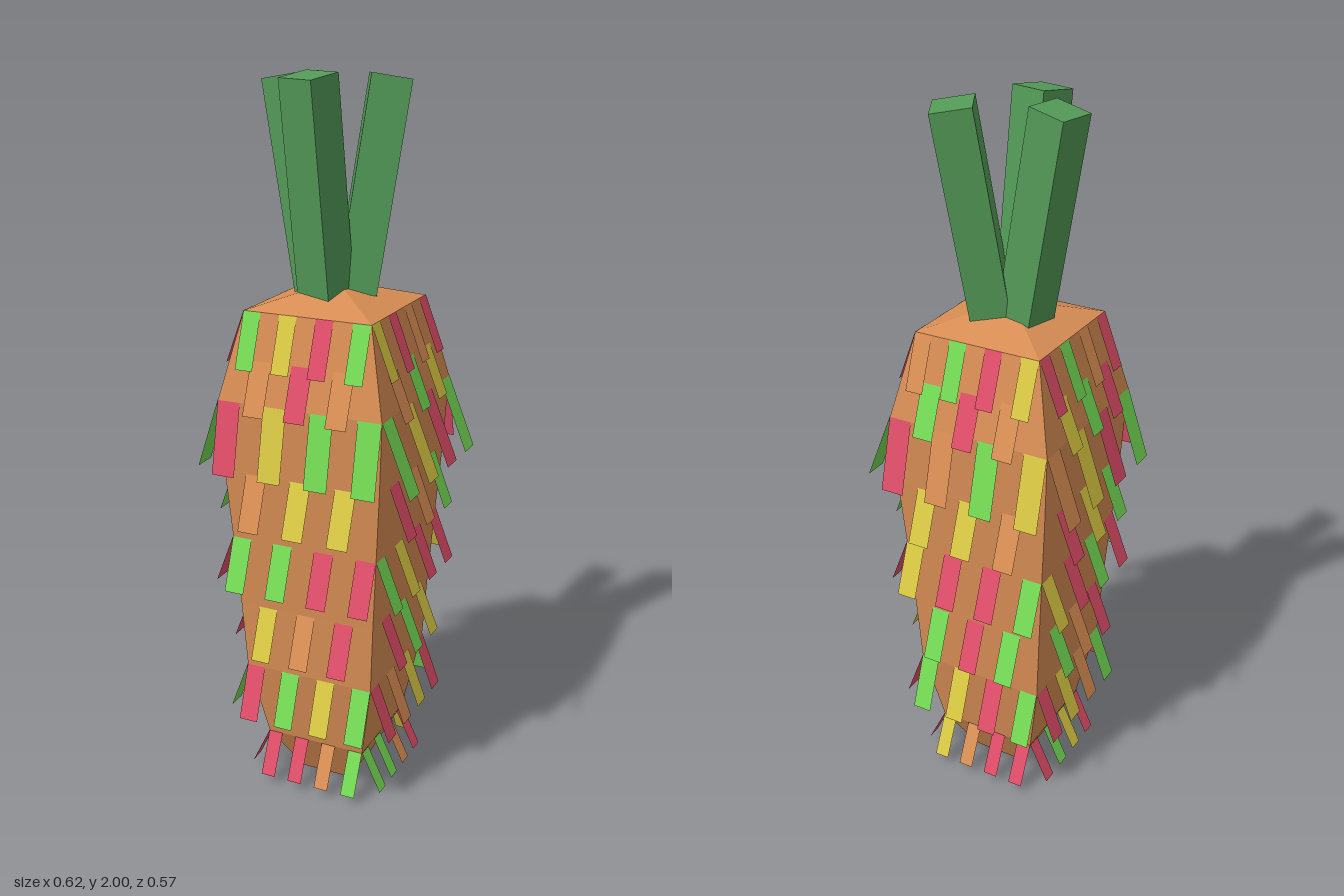
import * as THREE from 'three';

const CX = -0.01, CZ = 0.004; // axis of the body

const COLORS = { o: 0xd98e54, g: 0x74da54, y: 0xd9c843, r: 0xdf4d68 };

// Flap rows: top height, bottom height, body half width, flap width
const ROWS = [
  [1.4, 1.255, 0.181, 0.05],
  [1.28, 1.14, 0.207, 0.059],
  [1.165, 0.97, 0.235, 0.066],
  [0.965, 0.82, 0.226, 0.06],
  [0.77, 0.628, 0.213, 0.057],
  [0.565, 0.425, 0.2, 0.055],
  [0.37, 0.223, 0.19, 0.055],
  [0.14, 0.025, 0.147, 0.042],
];

// Each side: turn about y, and flap colours per row from its own left to right
const SIDES = [
  ['front', 0, 'gyrg oro rygg oyy ggrr yor rgyg rrog', 0.043],
  ['left', Math.PI / 2, 'yror ogy gyrg rog gyrr rgy royr ggor', 0.078],
  ['back', Math.PI, 'ogry gro rogy yyo yrrg grg gyrg yorr', 0.053],
  ['right', -Math.PI / 2, 'rgor ygr oyrg ryg yrgr gor ryog rgyr', 0.066],
];

// Thin sheet hinged on the body at its top edge and swung out at the bottom
function flapGeometry(x, width, top, bottom, half, out) {
  const geo = new THREE.PlaneGeometry(width, top - bottom);
  geo.translate(x, (top + bottom) / 2, half);
  const p = geo.attributes.position;
  for (let i = 0; i < p.count; i++) {
    if (p.getY(i) < (top + bottom) / 2) p.setZ(i, half + out);
  }
  geo.computeVertexNormals();
  return geo;
}

function flapSide([name, turn, codes, longOut], materials) {
  const side = new THREE.Group();
  side.name = name + 'Flaps';
  side.rotation.y = turn;
  side.position.set(CX, 0, CZ);
  codes.split(' ').forEach((code, r) => {
    const [top, bottom, half, width] = ROWS[r];
    const step = (2 * half - width) / 3;
    const out = r === 2 ? longOut : 0.055;
    [...code].forEach((c, i) => {
      const x = (i - (code.length - 1) / 2) * step;
      const flap = new THREE.Mesh(flapGeometry(x, width, top, bottom, half + 0.001, out), materials[c]);
      flap.name = 'flap';
      side.add(flap);
    });
  });
  return side;
}

// Square stalk running between two points
function stalk(base, tip, yaw, material) {
  const a = new THREE.Vector3(...base), b = new THREE.Vector3(...tip);
  const mesh = new THREE.Mesh(new THREE.BoxGeometry(0.106, a.distanceTo(b), 0.106), material);
  mesh.name = 'leafStalk';
  mesh.position.copy(a).add(b).multiplyScalar(0.5);
  const up = new THREE.Vector3(0, 1, 0);
  mesh.quaternion.setFromUnitVectors(up, b.clone().sub(a).normalize())
    .multiply(new THREE.Quaternion().setFromAxisAngle(up, yaw));
  return mesh;
}

export function createModel() {
  const model = new THREE.Group();
  model.name = 'squareRoot';

  // Square tapering body with a low pyramid on top
  const profile = [
    [0, 0], [0.075, 0], [0.147, 0.14], [0.19, 0.37], [0.2, 0.565], [0.213, 0.77],
    [0.226, 0.965], [0.235, 1.165], [0.181, 1.4], [0, 1.46],
  ].map(([h, y]) => new THREE.Vector2(h * Math.SQRT2, y));
  const bodyGeo = new THREE.LatheGeometry(profile, 4).rotateY(Math.PI / 4);
  const body = new THREE.Mesh(bodyGeo, new THREE.MeshStandardMaterial({ color: COLORS.o, flatShading: true }));
  body.name = 'body';
  body.position.set(CX, 0, CZ);
  model.add(body);

  // Coloured flaps on the four sides
  const materials = {};
  for (const k in COLORS) {
    materials[k] = new THREE.MeshStandardMaterial({ color: COLORS[k], side: THREE.DoubleSide });
  }
  for (const side of SIDES) model.add(flapSide(side, materials));

  // Three leaning green stalks
  const green = new THREE.MeshStandardMaterial({ color: 0x539a57, flatShading: true });
  model.add(
    stalk([-0.06, 1.43, -0.012], [-0.158, 1.978, -0.028], -0.19, green),
    stalk([0.03, 1.43, -0.03], [0.092, 1.978, -0.105], 0.467, green),
    stalk([-0.024, 1.43, 0.04], [-0.038, 1.99, 0.108], -0.26, green),
  );

  return model;
}
